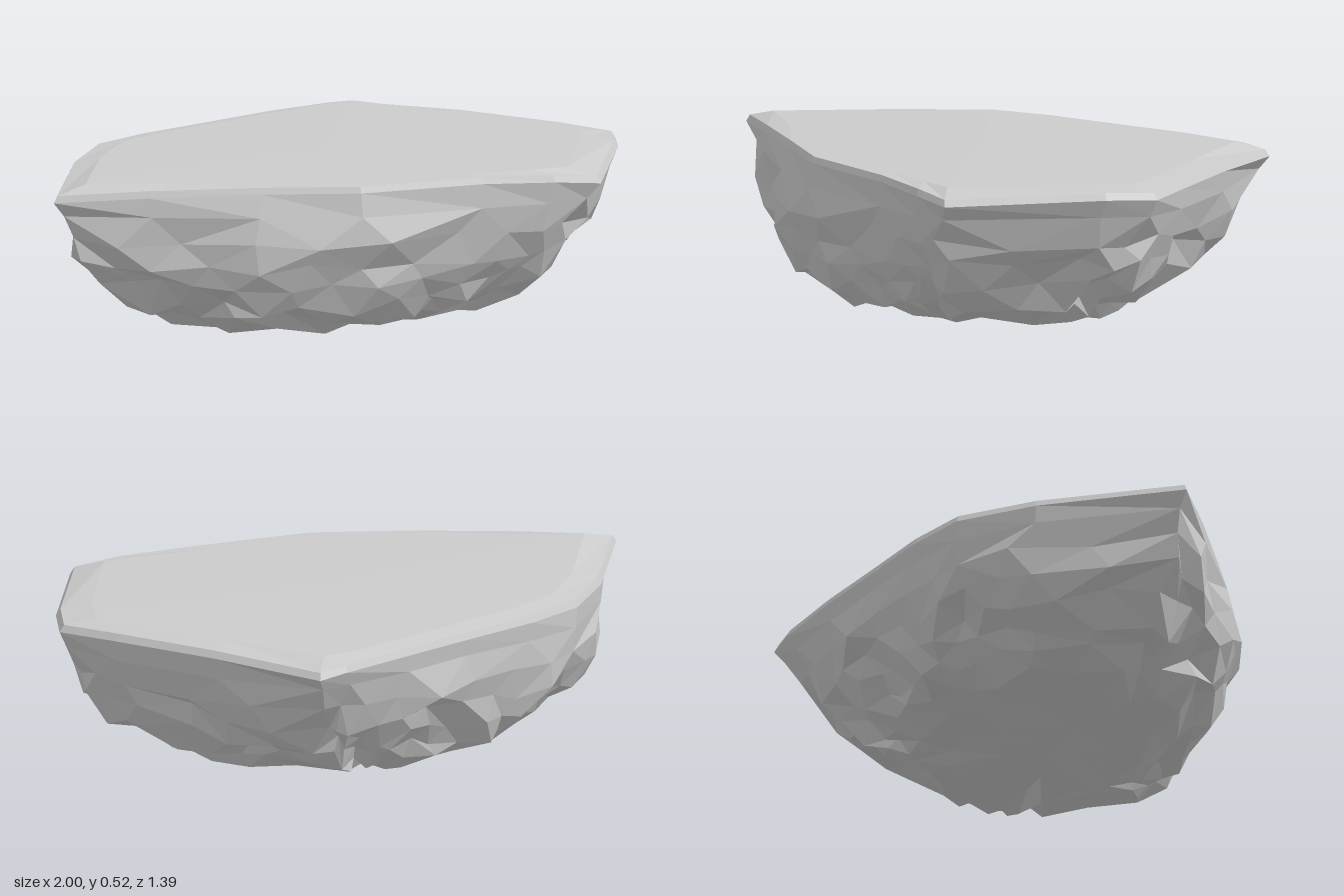
import * as THREE from 'three';

// Plan of the rim, clockwise from the left tip: x, z, height
const RIM = [
  [-1, 0.03, 0.475], [-0.69, -0.35, 0.485], [-0.48, -0.53, 0.49], [-0.27, -0.59, 0.49],
  [0, -0.63, 0.49], [0.25, -0.67, 0.49], [0.5, -0.7, 0.485], [0.6, -0.7, 0.475],
  [0.77, -0.35, 0.49], [0.92, -0.03, 0.49], [1, 0.16, 0.485], [0.92, 0.3, 0.49],
  [0.6, 0.695, 0.475], [0.45, 0.67, 0.49], [0.22, 0.61, 0.5], [-0.18, 0.525, 0.5],
  [-0.45, 0.37, 0.5], [-0.75, 0.19, 0.49],
];

// Rings below the rim: y, half width x, half depth z, roundness, corners, roughness
const RINGS = [
  [0.43, 0.97, 0.69, 0.12, 18, 0.01],
  [0.34, 0.93, 0.67, 0.3, 28, 0.022],
  [0.265, 0.89, 0.635, 0.4, 36, 0.03],
  [0.195, 0.82, 0.59, 0.48, 40, 0.035],
  [0.13, 0.71, 0.535, 0.55, 38, 0.04],
  [0.08, 0.63, 0.47, 0.65, 34, 0.04],
  [0.05, 0.55, 0.4, 0.75, 28, 0.035],
  [0.035, 0.41, 0.29, 0.85, 20, 0.03],
  [0.025, 0.26, 0.18, 1, 14, 0.025],
  [0.02, 0.12, 0.08, 1, 7, 0.02],
];

// Gullies in the right flank: angle, depth
const GULLIES = [[0.58, 0.1], [-0.36, 0.09], [-1.08, 0.07]];

function seeded(seed) {
  return () => {
    seed = (seed * 16807) % 2147483647;
    return (seed / 2147483647) * 2 - 1;
  };
}

// Point on the rim plan at u = 0..1
function rimAt(u) {
  const t = u * RIM.length, i = Math.floor(t) % RIM.length, f = t - Math.floor(t);
  const a = RIM[i], b = RIM[(i + 1) % RIM.length];
  return { x: a[0] + (b[0] - a[0]) * f, z: a[1] + (b[1] - a[1]) * f };
}

function roughRing([y, rx, rz, round, n, rough], rnd) {
  return Array.from({ length: n }, (_, i) => {
    const p = rimAt(i / n);
    const angle = Math.atan2(p.z / 0.7, p.x);
    const x = THREE.MathUtils.lerp(p.x, Math.cos(angle), round) * rx;
    const z = THREE.MathUtils.lerp(p.z / 0.7, Math.sin(angle), round) * rz;
    let push = 1 + rnd() * rough;
    // Gullies are deepest halfway down
    const band = Math.exp(-(((y - 0.2) / 0.1) ** 2));
    for (const [at, depth] of GULLIES) push -= depth * band * Math.exp(-(((angle - at) / 0.14) ** 2));
    return new THREE.Vector3(
      x * push + rnd() * rough * 0.6,
      Math.max(0, y + rnd() * rough * 0.9),
      z * push + rnd() * rough * 0.6,
    );
  });
}

// Joins two closed rings whose corner counts may differ
function stitch(upper, lower, out) {
  const n = upper.length, m = lower.length;
  let i = 0, j = 0;
  while (i < n || j < m) {
    const a = upper[i % n], b = lower[j % m];
    if (j >= m || (i < n && (i + 1) / n <= (j + 1) / m)) out.push(a, upper[++i % n], b);
    else out.push(a, lower[++j % m], b);
  }
}

function facets(name, points, material) {
  const geometry = new THREE.BufferGeometry().setFromPoints(points);
  geometry.computeVertexNormals();
  const mesh = new THREE.Mesh(geometry, material);
  mesh.name = name;
  return mesh;
}

export function createModel() {
  const group = new THREE.Group();
  group.name = 'rockSlab';
  const material = new THREE.MeshStandardMaterial({ color: 0xcccccc, flatShading: true });
  const rnd = seeded(4217);

  const rim = RIM.map(([x, z, y]) => new THREE.Vector3(x, y, z));
  const inset = (s, rise, max) => rim.map((p) => new THREE.Vector3(p.x * s, Math.min(max, p.y + rise), p.z * s));
  const edge = inset(0.985, 0.022, 0.52);
  const inner = inset(0.88, 0.05, 0.522);

  // Nearly flat top, falling slightly towards its edge
  const top = [];
  const centre = new THREE.Vector3(0.05, 0.524, 0);
  inner.forEach((p, i) => top.push(centre, inner[(i + 1) % inner.length], p));
  stitch(inner, edge, top);
  group.add(facets('flatTop', top, material));

  // Narrow bevel round the top
  const bevel = [];
  stitch(edge, rim, bevel);
  group.add(facets('bevelledRim', bevel, material));

  // Craggy flanks and underside
  const crag = [];
  let previous = rim;
  for (const ring of RINGS) {
    const next = roughRing(ring, rnd);
    stitch(previous, next, crag);
    previous = next;
  }
  const keel = new THREE.Vector3(0.04, 0, 0);
  previous.forEach((p, i) => crag.push(p, previous[(i + 1) % previous.length], keel));
  group.add(facets('craggyUnderside', crag, material));

  return group;
}
